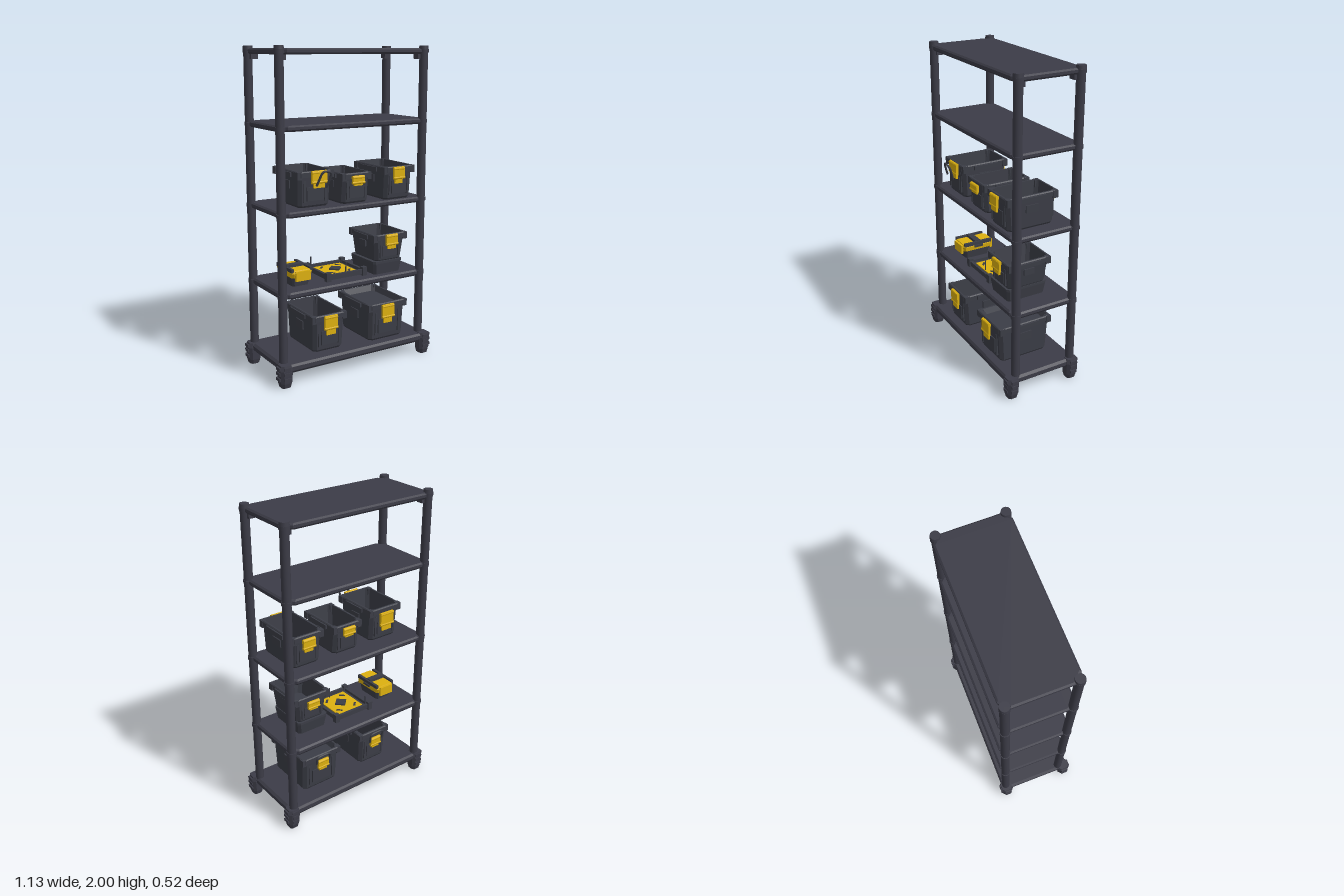
import * as THREE from 'three';

const mat = (name, color) => {
  const m = new THREE.MeshStandardMaterial({ color });
  m.name = name;
  return m;
};

export function createModel() {
  const frame = mat('charcoal frame', 0x3c3c47);
  const tub = mat('dark grey plastic', 0x3b3d46);
  const yellow = mat('yellow latch', 0xdcb010);
  const root = new THREE.Group();
  root.name = 'storageRack';

  const add = (parent, name, geo, material, x = 0, y = 0, z = 0) => {
    const m = new THREE.Mesh(geo, material);
    m.name = name;
    m.position.set(x, y, z);
    parent.add(m);
    return m;
  };
  const box = (parent, name, material, w, h, d, x, y, z) =>
    add(parent, name, new THREE.BoxGeometry(w, h, d), material, x, y, z);
  const group = (name) => {
    const g = new THREE.Group();
    g.name = name;
    root.add(g);
    return g;
  };

  // Lofts chamfered rectangles [y, width, depth, chamfer] and caps both ends
  const loft = (sections) => {
    const rings = sections.map(([y, w, d, c]) => {
      const a = w / 2, b = d / 2;
      return [[a - c, b], [a, b - c], [a, c - b], [a - c, -b], [c - a, -b], [-a, c - b], [-a, b - c], [c - a, b]]
        .map(([x, z]) => [x, y, z]);
    });
    const pos = [];
    const tri = (a, b, c) => pos.push(...a, ...b, ...c);
    const last = rings[rings.length - 1];
    for (let r = 0; r < rings.length - 1; r++) {
      for (let i = 0; i < 8; i++) {
        const j = (i + 1) % 8, lo = rings[r], hi = rings[r + 1];
        tri(lo[i], lo[j], hi[j]);
        tri(lo[i], hi[j], hi[i]);
      }
    }
    for (let i = 1; i < 7; i++) {
      tri(rings[0][0], rings[0][i + 1], rings[0][i]);
      tri(last[0], last[i], last[i + 1]);
    }
    const g = new THREE.BufferGeometry();
    g.setAttribute('position', new THREE.Float32BufferAttribute(pos, 3));
    g.computeVertexNormals();
    return g;
  };

  // Posts with caps and connector collars at each shelf
  const levels = [[0.53, 0.57], [1.02, 1.055], [1.52, 1.555], [1.95, 1.985]];
  for (const x of [-0.505, 0.505]) {
    for (const z of [-0.217, 0.182]) {
      const sx = Math.sign(x), sz = Math.sign(z);
      const post = group('post');
      add(post, 'postTube', new THREE.CylinderGeometry(0.027, 0.027, 1.87, 20), frame, x, 1.045, z);
      add(post, 'postCap', new THREE.CylinderGeometry(0.028, 0.031, 0.03, 20), frame, x, 1.985, z);
      for (const [lo, hi] of levels) {
        add(post, 'collar', new THREE.CylinderGeometry(0.031, 0.031, hi - lo - 0.015, 20), frame, x, (lo + hi) / 2, z);
      }
      box(post, 'topBracket', frame, 0.045, 0.05, 0.045, x - sx * 0.022, 1.945, z - sz * 0.022);

      // Chunky foot with ribbed outer faces
      const foot = group('foot');
      add(foot, 'footBlock', loft([[0, 0.06, 0.06, 0.012], [0.03, 0.075, 0.075, 0.016], [0.11, 0.085, 0.08, 0.016], [0.14, 0.07, 0.07, 0.016]]),
        frame, sx * 0.515, 0, sz * 0.216);
      for (const y of [0.055, 0.09, 0.122]) {
        box(foot, 'footRib', frame, 0.02, 0.018, 0.045, sx * 0.553, y, sz * 0.216);
        box(foot, 'footRib', frame, 0.045, 0.018, 0.02, sx * 0.515, y, sz * 0.25);
      }
    }
  }

  // Shelves: cut-corner panels with a thicker edge rail
  for (const [lo, hi] of levels) {
    const h = hi - lo;
    add(root, 'shelf', loft([[lo, 1.02, 0.435, 0.05], [lo + h * 0.3, 1.035, 0.45, 0.05], [lo + h * 0.75, 1.035, 0.45, 0.05], [hi, 1.015, 0.43, 0.05]]),
      frame, 0, 0, -0.018);
  }
  const base = loft([[0.085, 1.04, 0.47, 0.03], [0.1, 1.07, 0.49, 0.03], [0.125, 1.07, 0.49, 0.03], [0.138, 1.04, 0.47, 0.03]]);
  add(root, 'baseDeck', base, frame);

  // Yellow clasp: hinge bar, front plate and lower lip, facing dir along z
  const clasp = (g, x, y, z, w, h, dir) => {
    const c = new THREE.Group();
    c.name = 'clasp';
    c.position.set(x, y, z);
    if (dir < 0) c.rotation.y = Math.PI;
    g.add(c);
    box(c, 'claspPlate', yellow, w, h * 0.7, 0.016, 0, h * 0.15, 0.012);
    box(c, 'claspLip', yellow, w * 0.72, h * 0.4, 0.012, 0, -h * 0.3, 0.008);
    const bar = add(c, 'claspBar', new THREE.CylinderGeometry(0.012, 0.012, w, 10), yellow, 0, h * 0.42, 0.01);
    bar.rotation.z = Math.PI / 2;
    const pin = add(c, 'claspPin', new THREE.CylinderGeometry(0.009, 0.009, w * 1.05, 10), yellow, 0, -h * 0.15, 0.014);
    pin.rotation.z = Math.PI / 2;
  };

  // Tapered tub: open inside down to floor, rim, side grips, panels and clasps
  const bin = ({ name, x, y0, y1, wb, wt, zb, zf, floor, front, back }) => {
    const g = group(name);
    const z = (zb + zf) / 2, d = zf - zb, r = y1 - 0.035, c = 0.02;
    const db = d - 0.04;
    add(g, 'tub', loft([
      [y0, wb - 0.015, db - 0.015, c], [y0 + 0.012, wb, db, c], [r, wt - 0.04, d - 0.015, c],
      [r, wt - 0.02, d, c], [y1 - 0.006, wt - 0.02, d, c], [y1, wt - 0.03, d - 0.01, c],
      [y1, wt - 0.05, d - 0.03, c], [floor, wb - 0.03, db - 0.03, c],
    ]), tub, x, 0, z);
    const h = y1 - y0;
    for (const s of [-1, 1]) {
      box(g, 'sideGrip', tub, 0.022, 0.026, d * 0.5, x + s * (wt / 2 - 0.011), y1 - 0.022, z);
      box(g, 'sidePlate', tub, 0.012, h * 0.22, d * 0.24, x + s * (wt / 2 - 0.02), y0 + h * 0.6, z);
      for (const e of [-1, 1]) {
        box(g, 'cornerKnob', tub, 0.03, 0.045, 0.035, x + s * (wt / 2 - 0.022), y1 - 0.024, z + e * (d / 2 - 0.02));
        box(g, 'cornerRib', tub, 0.014, h * 0.6, 0.014, x + s * wb * 0.34, y0 + h * 0.45, z + e * (d / 2 - 0.014));
      }
      box(g, 'endPanel', tub, wb * 0.55, h * 0.38, 0.014, x, y0 + h * 0.38, z + s * (d / 2 - 0.013));
    }
    if (front) clasp(g, front[0], front[1], zf - 0.002, front[2], front[3], 1);
    if (back) clasp(g, back[0], back[1], zb + 0.002, back[2], back[3], -1);
    return g;
  };

  // Three open bins on the middle shelf
  const binA = bin({ name: 'leftOpenBin', x: -0.27, y0: 1.062, y1: 1.28, wb: 0.21, wt: 0.26, zb: -0.145, zf: 0.18, floor: 1.1,
    front: [-0.255, 1.23, 0.1, 0.1], back: [-0.27, 1.19, 0.1, 0.12] });
  bin({ name: 'centreOpenBin', x: 0.02, y0: 1.055, y1: 1.245, wb: 0.19, wt: 0.225, zb: -0.14, zf: 0.18, floor: 1.09,
    front: [0.02, 1.195, 0.085, 0.055], back: [0.02, 1.195, 0.085, 0.055] });
  bin({ name: 'rightOpenBin', x: 0.32, y0: 1.055, y1: 1.265, wb: 0.2, wt: 0.245, zb: -0.145, zf: 0.205, floor: 1.09,
    front: [0.305, 1.21, 0.08, 0.1], back: [0.32, 1.2, 0.085, 0.08] });

  // Two large bins on the base
  bin({ name: 'leftLargeBin', x: -0.2, y0: 0.16, y1: 0.395, wb: 0.21, wt: 0.26, zb: -0.15, zf: 0.22, floor: 0.2,
    front: [-0.2, 0.33, 0.09, 0.12], back: [-0.2, 0.31, 0.08, 0.07] });
  bin({ name: 'rightLargeBin', x: 0.235, y0: 0.148, y1: 0.395, wb: 0.26, wt: 0.31, zb: -0.155, zf: 0.22, floor: 0.36,
    front: [0.225, 0.325, 0.09, 0.12], back: [0.235, 0.32, 0.08, 0.07] });

  // Stacked pair on the lower shelf
  add(root, 'stackBase', loft([[0.57, 0.2, 0.26, 0.015], [0.64, 0.22, 0.28, 0.015], [0.655, 0.22, 0.28, 0.015]]), tub, 0.27, 0, 0.025);
  bin({ name: 'stackedBin', x: 0.28, y0: 0.65, y1: 0.83, wb: 0.2, wt: 0.27, zb: -0.125, zf: 0.175, floor: 0.7,
    front: [0.28, 0.78, 0.085, 0.09], back: [0.28, 0.765, 0.08, 0.055] });

  // Tilted bail loops on the bin ends
  const bail = (g, x, y, z, w, h, tilt, roll) => {
    const pts = [[-w, 0], [-w, h * 0.8], [-w * 0.6, h], [w * 0.6, h], [w, h * 0.8], [w, 0]]
      .map(([px, py]) => new THREE.Vector3(px, py, 0));
    const m = add(g, 'bailLoop', new THREE.TubeGeometry(new THREE.CatmullRomCurve3(pts, false, 'catmullrom', 0.2), 20, 0.007, 6), tub, x, y, z);
    m.rotation.set(tilt, 0, roll);
  };
  bail(binA, -0.255, 1.19, 0.215, 0.035, 0.1, 0.35, -0.25);
  bail(root, -0.2, 0.33, -0.165, 0.05, 0.07, -0.2, 0);
  bail(root, 0.235, 0.34, -0.165, 0.05, 0.06, -0.2, 0);

  // Small yellow-topped box
  const small = group('smallBox');
  add(small, 'smallBody', loft([[0.57, 0.11, 0.17, 0.012], [0.64, 0.13, 0.19, 0.012]]), tub, -0.335, 0, 0.015);
  add(small, 'smallLid', loft([[0.625, 0.13, 0.2, 0.012], [0.655, 0.14, 0.215, 0.012], [0.672, 0.13, 0.2, 0.012]]), yellow, -0.335, 0, 0.015);
  for (const s of [-1, 1]) {
    box(small, 'smallLatch', yellow, 0.1, 0.06, 0.015, -0.335, 0.638, 0.015 + s * 0.11);
    box(small, 'smallRail', tub, 0.018, 0.022, 0.2, -0.335 + s * 0.063, 0.672, 0.015);
    box(small, 'smallEar', tub, 0.02, 0.014, 0.06, -0.335 + s * 0.07, 0.655, 0.015);
  }
  box(small, 'smallHandle', tub, 0.12, 0.018, 0.04, -0.335, 0.68, 0.015);

  // Shallow tray with a yellow floor and dark diamond
  const tray = group('tray');
  box(tray, 'trayPlate', tub, 0.27, 0.015, 0.27, -0.03, 0.589, 0);
  box(tray, 'trayFloor', yellow, 0.2, 0.006, 0.21, -0.03, 0.6, 0);
  const diamond = box(tray, 'trayDiamond', tub, 0.065, 0.012, 0.065, -0.03, 0.606, 0);
  diamond.rotation.y = Math.PI / 4;
  for (const s of [-1, 1]) {
    box(tray, 'trayRail', tub, 0.26, 0.022, 0.018, -0.03, 0.604, s * 0.13);
    box(tray, 'traySide', tub, 0.018, 0.022, 0.26, -0.03 + s * 0.13, 0.604, 0);
    for (const e of [-1, 1]) {
      box(tray, 'trayCorner', tub, 0.032, 0.055, 0.032, -0.03 + s * 0.132, 0.602, e * 0.13);
      const slot = box(tray, 'traySlot', tub, 0.04, 0.006, 0.014, -0.03 + s * 0.062, 0.602, e * 0.068);
      slot.rotation.y = s * e * Math.PI / 4;
    }
  }
  for (const [x, z] of [[-0.14, -0.12], [-0.012, 0.1]]) {
    add(tray, 'trayPin', new THREE.CylinderGeometry(0.004, 0.004, 0.07, 8), tub, x, 0.635, z);
  }
  return root;
}
